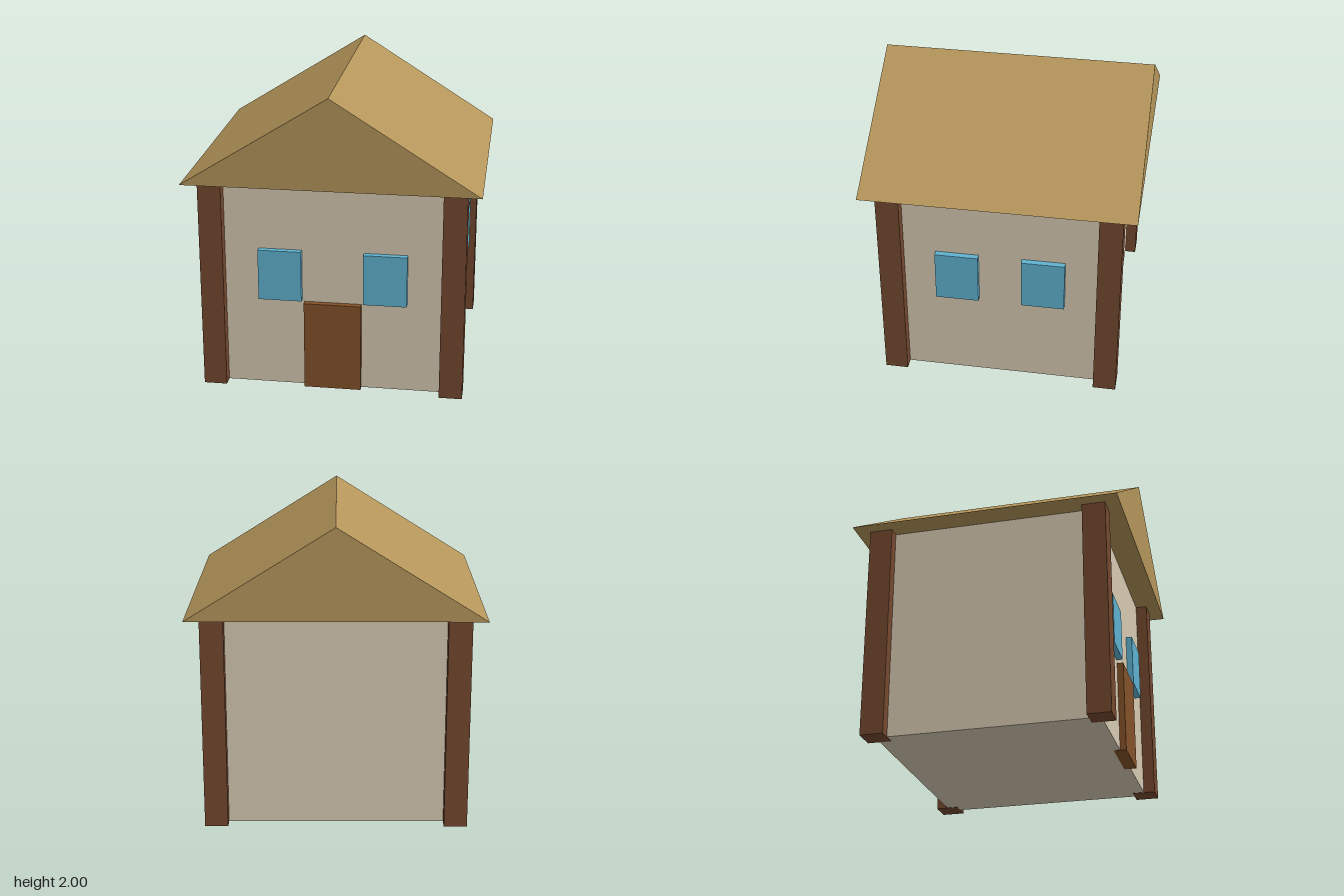
import * as THREE from 'three';

const WALL_X = 0.775, WALL_Z = 0.705, EAVES = 1.41;

const paint = (color) => new THREE.MeshStandardMaterial({ color, flatShading: true });

// Box resting with its underside at height y
function block(name, material, [w, h, d], [x, y, z]) {
  const mesh = new THREE.Mesh(new THREE.BoxGeometry(w, h, d), material);
  mesh.name = name;
  mesh.position.set(x, y + h / 2, z);
  return mesh;
}

export function createModel() {
  const house = new THREE.Group();
  house.name = 'house';
  const wall = paint(0xd6c9b2), timber = paint(0x74482f), wood = paint(0x835229);
  const glass = paint(0x5fb2d0), thatch = paint(0xb4955a);

  // Walls, lifted a hair so the floor does not clash with the post feet
  house.add(block('walls', wall, [2 * WALL_X, EAVES - 0.002, 2 * WALL_Z], [0, 0.002, 0]));

  // Corner posts, centred on the wall corners
  for (const sx of [-1, 1]) for (const sz of [-1, 1]) {
    house.add(block('cornerPost', timber, [0.15, EAVES, 0.15], [sx * WALL_X, 0, sz * WALL_Z]));
  }

  // Door and windows, half sunk into the front and left walls
  const depth = 0.08;
  house.add(block('door', wood, [0.37, 0.595, depth], [0, 0, WALL_Z]));
  for (const s of [-1, 1]) {
    house.add(block('frontWindow', glass, [0.28, 0.34, depth], [s * 0.34, 0.61, WALL_Z]));
    house.add(block('sideWindow', glass, [depth, 0.34, 0.28], [WALL_X, 0.61, s * 0.28]));
  }

  // Gable roof: a solid triangular prism along z
  const gable = new THREE.Shape([
    new THREE.Vector2(-0.94, EAVES),
    new THREE.Vector2(0.94, EAVES),
    new THREE.Vector2(0, 2),
  ]);
  const roofGeometry = new THREE.ExtrudeGeometry(gable, { depth: 1.74, bevelEnabled: false });
  roofGeometry.translate(0, 0, -0.87);
  const roof = new THREE.Mesh(roofGeometry, thatch);
  roof.name = 'roof';
  house.add(roof);

  return house;
}
